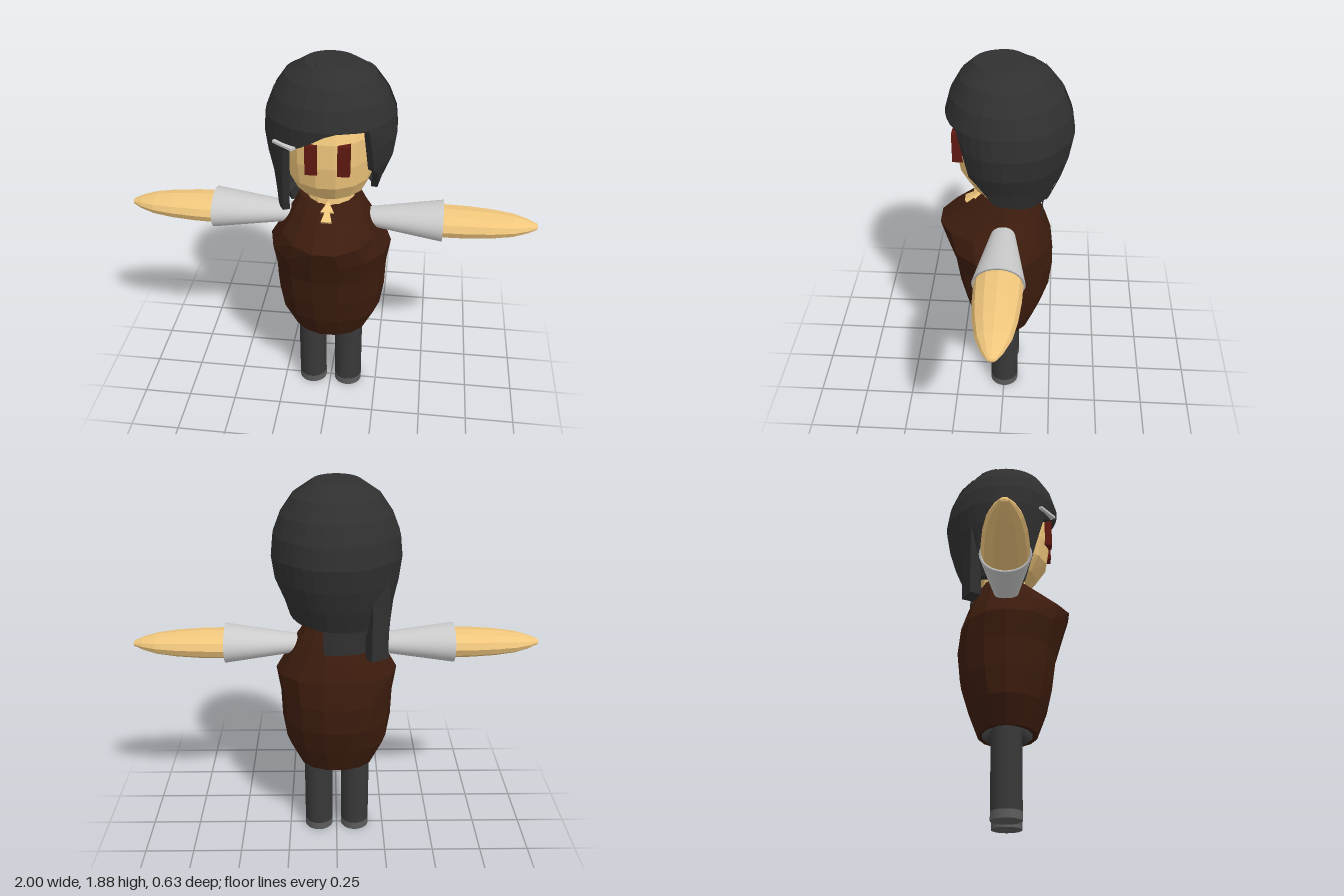
import * as THREE from 'three';

const rad = THREE.MathUtils.degToRad;
const mat = (color, flatShading = true) =>
  new THREE.MeshStandardMaterial({ color, flatShading, side: THREE.DoubleSide });
const SKIN = mat(0xf0c67c), CLOTH = mat(0x3c1c0e), HAIR = mat(0x303031);
const LEG = mat(0x383838, false), SOLE = mat(0x5c5c5c, false);
const SLEEVE = mat(0xcccccc, false), EYE = mat(0x5e1810);

// Piecewise linear lookup in rows of [key, value, value...]
function lookup(table, key) {
  const last = table.length - 1;
  if (key <= table[0][0]) return table[0].slice(1);
  if (key >= table[last][0]) return table[last].slice(1);
  const i = table.findIndex(r => r[0] >= key);
  const a = table[i - 1], b = table[i];
  const t = (key - a[0]) / (b[0] - a[0]);
  return a.slice(1).map((v, k) => v + (b[k + 1] - v) * t);
}

// Grid surface: columns run round the figure, rows run upward
function grid(rows, cols, point) {
  const pos = [], index = [];
  for (let r = 0; r <= rows; r++)
    for (let c = 0; c <= cols; c++) pos.push(...point(r, c / cols));
  for (let r = 0; r < rows; r++)
    for (let c = 0; c < cols; c++) {
      const a = r * (cols + 1) + c, d = a + cols + 1;
      index.push(a, a + 1, d + 1, a, d + 1, d);
    }
  const g = new THREE.BufferGeometry();
  g.setAttribute('position', new THREE.Float32BufferAttribute(pos, 3));
  g.setIndex(index);
  g.computeVertexNormals();
  return g;
}

// Point on a cross-section with half width rx and separate front and back depths
function around(angle, y, [rx, front, back], s = 1) {
  const c = Math.cos(angle);
  return [rx * s * Math.sin(angle), y, c * s * (c > 0 ? front : back)];
}

// Closed body from rows of [y, half width, front depth, back depth]
function loft(table, sides) {
  const rows = [[table[0][0], 0, 0, 0], ...table, [table[table.length - 1][0], 0, 0, 0]];
  return grid(rows.length - 1, sides, (r, u) =>
    around((u * sides + 0.5) / sides * Math.PI * 2, rows[r][0], rows[r].slice(1)));
}

// Hair volume: [y, half width, front depth, back depth]
const HAIR_FORM = [
  [1.05, 0.25, 0.17, 0.2], [1.22, 0.26, 0.2, 0.215], [1.33, 0.27, 0.225, 0.26],
  [1.44, 0.292, 0.24, 0.292], [1.55, 0.305, 0.255, 0.31], [1.65, 0.295, 0.27, 0.295],
  [1.74, 0.26, 0.245, 0.26], [1.82, 0.205, 0.2, 0.2], [1.88, 0.115, 0.14, 0.1],
];
// Hem height by angle: 0 is the front, positive turns to the left side
const HEM = [
  [-180, 1.22], [-150, 1.2], [-125, 1.17], [-100, 1.15], [-54, 1.14], [-47, 1.5], [-36, 1.52],
  [-18, 1.57], [0, 1.63], [12, 1.65], [40, 1.64], [48, 1.42], [66, 1.37], [76, 1.27],
  [90, 1.26], [120, 1.24], [180, 1.22],
];

// Patch of hair between two angles, lifted by a scale s, with an inner lip at the hem
function hairPatch(from, to, cols, top, s) {
  const ys = HAIR_FORM.map(r => r[0]).filter(y => y <= top);
  const n = ys.length;
  return grid(n + 1, cols, (r, u) => {
    const deg = from + (to - from) * u;
    const [hem] = lookup(HEM, deg);
    const y = Math.max(hem, ys[THREE.MathUtils.clamp(r - 1, 0, n - 1)]);
    const form = lookup(HAIR_FORM, y);
    // The left side curls in toward the jaw
    if (deg > 30) form[0] -= Math.max(0, 1.45 - y) * 0.2;
    const k = r === 0 ? 0.86 : r === n + 1 ? (s > 1 ? 0.95 : 0) : s;
    return around(rad(deg), y, form, k);
  });
}

export function createModel() {
  const model = new THREE.Group();
  const add = (name, geometry, material, x = 0, y = 0, z = 0, parent = model) => {
    const m = new THREE.Mesh(geometry, material);
    m.name = name;
    m.position.set(x, y, z);
    parent.add(m);
    return m;
  };

  // Torso with a pointed chest
  add('tunic', loft([
    [0.42, 0.19, 0.15, 0.14], [0.55, 0.255, 0.2, 0.19], [0.68, 0.275, 0.23, 0.23],
    [0.82, 0.28, 0.25, 0.245], [0.95, 0.3, 0.29, 0.23], [1.045, 0.245, 0.322, 0.2],
    [1.14, 0.185, 0.19, 0.165], [1.2, 0.155, 0.1, 0.13],
  ], 14), CLOTH);
  add('hips', loft([[0.385, 0.1, 0.08, 0.08], [0.43, 0.18, 0.14, 0.13]], 14), LEG);

  // Legs
  for (const [side, x] of [['left', 0.095], ['right', -0.098]]) {
    add(side + 'Leg', new THREE.CylinderGeometry(0.073, 0.073, 0.4, 32), LEG, x, 0.24);
    add(side + 'Sole', new THREE.CylinderGeometry(0.0735, 0.0735, 0.04, 32), SOLE, x, 0.02);
  }

  // Arms: flared open sleeve and a tapering hand
  for (const [side, sign, cuff] of [['left', 1, 0.545], ['right', -1, 0.575]]) {
    const arm = new THREE.Group();
    arm.name = side + 'Arm';
    arm.position.y = 1.08;
    arm.rotation.z = -sign * Math.PI / 2;
    model.add(arm);
    const profile = [[0.043, 0.18], [0.094, cuff], [0.084, cuff], [0.07, cuff - 0.08]];
    const sleeve = new THREE.LatheGeometry(profile.map(p => new THREE.Vector2(...p)), 36);
    add(side + 'Sleeve', sleeve, SLEEVE, 0, 0, 0, arm).scale.z = 1.27;
    const handProfile = [[0, 0.4], [0.055, 0.41], [0.069, 0.54], [0.067, 0.66], [0.06, 0.78],
      [0.048, 0.88], [0.03, 0.95], [0.012, 0.995], [0, 1]];
    const hand = new THREE.LatheGeometry(handProfile.map(p => new THREE.Vector2(...p)), 12);
    add(side + 'Hand', hand, SKIN, 0, 0, 0, arm).scale.z = 1.6;
  }

  // Head, neck and eyes
  add('neck', new THREE.CylinderGeometry(0.11, 0.13, 0.16, 14), SKIN, 0, 1.18, -0.01);
  add('head', loft([
    [1.215, 0.09, 0.09, 0.09], [1.26, 0.165, 0.155, 0.15], [1.34, 0.2, 0.21, 0.19],
    [1.45, 0.212, 0.228, 0.21], [1.57, 0.212, 0.228, 0.21], [1.68, 0.18, 0.19, 0.18],
    [1.76, 0.1, 0.1, 0.1],
  ], 14), SKIN);
  for (const [side, x] of [['left', 0.083], ['right', -0.063]])
    add(side + 'Eye', new THREE.BoxGeometry(0.055, 0.145, 0.05), EYE, x, 1.498, 0.211);

  // Small tie at the throat, lying on the slope of the chest
  const bow = new THREE.Shape([[0, 0.02], [0.032, -0.04], [0.012, -0.04], [0.026, -0.09],
    [-0.026, -0.09], [-0.012, -0.04], [-0.032, -0.04]].map(p => new THREE.Vector2(...p)));
  add('throatTie', new THREE.ExtrudeGeometry(bow, { depth: 0.02, bevelEnabled: false }),
    SKIN, 0, 1.19, 0.11).rotation.x = -0.95;

  // Hair cap and raised locks
  add('hairCap', hairPatch(-180, 180, 36, 2, 1), HAIR);
  for (const [from, to] of [[-178, -150], [-128, -104], [104, 132], [152, 176]])
    add('hairLock', hairPatch(from, to, 3, 1.83, 1.025), HAIR);
  add('crownLock', new THREE.CylinderGeometry(0.07, 0.085, 0.02, 10), HAIR, 0, 1.873, 0.02)
    .scale.z = 1.6;

  // Long hair hanging behind the neck on the right
  add('napeHair', grid(1, 6, (r, u) =>
    around(rad(165 + 60 * u), r ? 1.3 : 1.09, [0.24, 0.18, 0.185])), HAIR);
  const strand = add('backStrand', new THREE.BoxGeometry(0.09, 0.42, 0.06), HAIR, -0.19, 1.28, -0.17);
  strand.rotation.y = 0.5;

  // Hair pin by the fringe
  add('hairPin', new THREE.BoxGeometry(0.12, 0.012, 0.03), SLEEVE, -0.185, 1.555, 0.205)
    .rotation.y = -0.65;

  return model;
}
